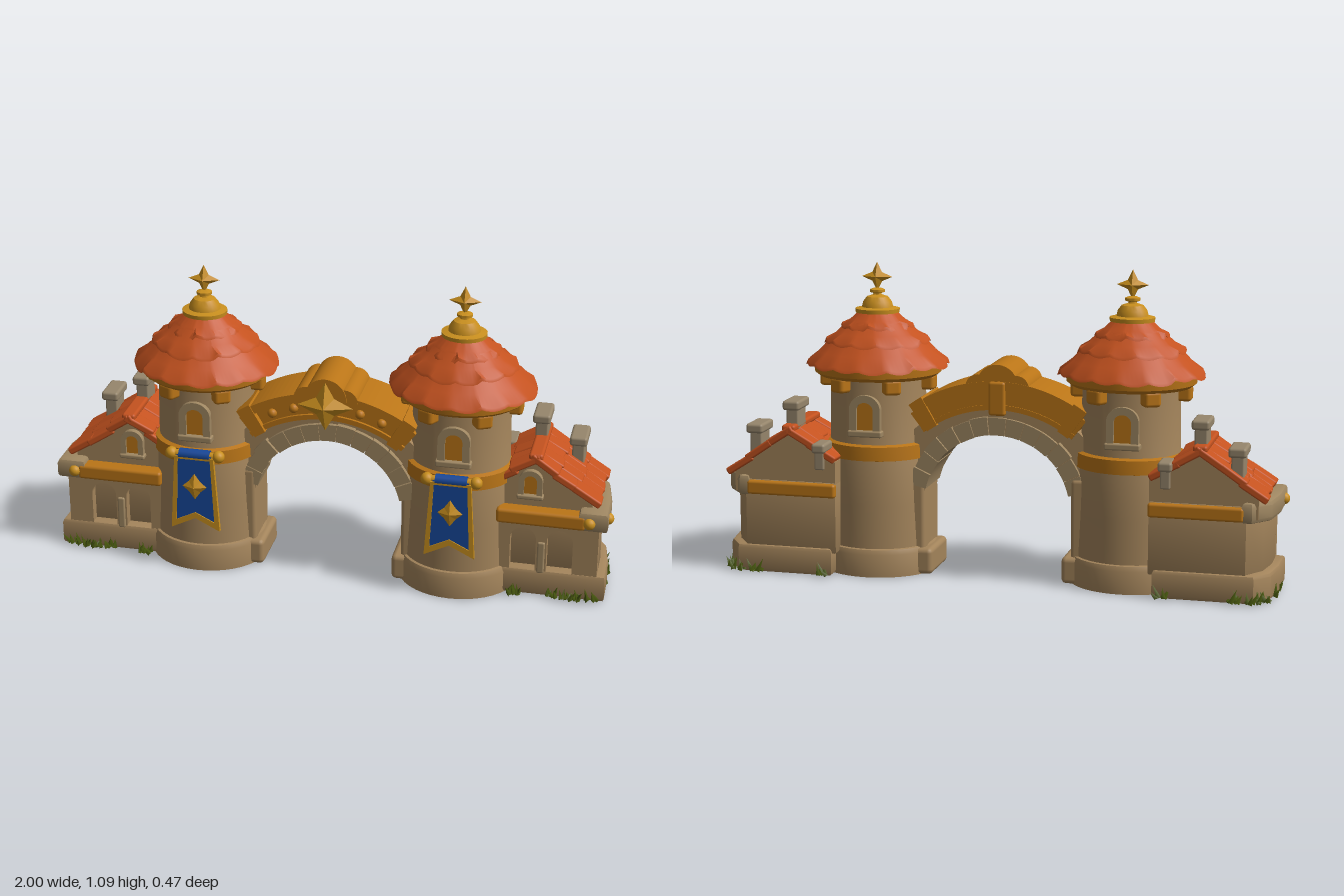
import * as THREE from 'three';
import { mergeGeometries, toCreasedNormals } from 'three/addons/utils/BufferGeometryUtils.js';
import { RoundedBoxGeometry } from 'three/addons/geometries/RoundedBoxGeometry.js';

const mat = (name, color, side = THREE.FrontSide) => {
  const m = new THREE.MeshStandardMaterial({ color, side });
  m.name = name;
  return m;
};
const V = (x, y) => new THREE.Vector2(x, y);
// repeatable jitter between -1 and 1
const hash = (n) => { const v = Math.sin(n * 127.1 + 3.7) * 4375.85; return 2 * (v - Math.floor(v)) - 1; };

function add(parent, name, geo, material, x = 0, y = 0, z = 0) {
  const mesh = new THREE.Mesh(geo, material);
  mesh.name = name;
  mesh.position.set(x, y, z);
  parent.add(mesh);
  return mesh;
}
const lathe = (pts, seg = 40) => toCreasedNormals(new THREE.LatheGeometry(pts.map(p => V(...p)), seg), 0.6);
const rbox = (w, h, d, r = 0.012) => new RoundedBoxGeometry(w, h, d, 2, r);
const extrude = (shape, z0, z1) => new THREE.ExtrudeGeometry(shape, { depth: z1 - z0, bevelEnabled: false, curveSegments: 16 }).translate(0, 0, z0);
const poly = (pts, s = 1) => new THREE.Shape(pts.map(p => V(s * p[0], p[1])));

// block with a ground plan given as x, z points and softened edges
function planBlock(pts, s, y0, y1, b) {
  const g = new THREE.ExtrudeGeometry(poly(pts, s), { depth: y1 - y0 - 2 * b, bevelSize: b, bevelOffset: -b, bevelThickness: b, bevelSegments: 2 });
  return toCreasedNormals(g.rotateX(Math.PI / 2).translate(0, y1 - b, 0), 0.6);
}
// round-topped opening standing on y
function arch(w, h, x = 0, y = 0) {
  const s = new THREE.Shape();
  s.moveTo(x - w / 2, y);
  s.lineTo(x + w / 2, y);
  s.lineTo(x + w / 2, y + h - w / 2);
  s.absarc(x, y + h - w / 2, w / 2, 0, Math.PI, false);
  s.closePath();
  return s;
}
// slice of a ring, angles measured from +x
function sector(r0, r1, a0, a1, z0, z1) {
  const s = new THREE.Shape();
  s.absarc(0, 0, r1, a0, a1, false);
  s.absarc(0, 0, r0, a1, a0, true);
  s.closePath();
  return extrude(s, z0, z1);
}
// faceted star, pointed front and back
function star(rx, ry, inner, depth) {
  const p = [], rim = [];
  for (let i = 0; i < 8; i++) {
    const a = i * Math.PI / 4, k = inner * Math.min(rx, ry);
    rim.push([Math.cos(a) * (i % 2 ? k : rx), Math.sin(a) * (i % 2 ? k : ry), 0]);
  }
  for (let i = 0; i < 8; i++) {
    const a = rim[i], b = rim[(i + 1) % 8];
    p.push(...a, ...b, 0, 0, depth, ...b, ...a, 0, 0, -depth);
  }
  const g = new THREE.BufferGeometry();
  g.setAttribute('position', new THREE.Float32BufferAttribute(p, 3));
  g.computeVertexNormals();
  return g;
}
// one ring of scalloped shingles
function shingles(r0, y0, r1, y1, tiles, seed) {
  const pts = [V(r0 - 0.04, y0 + 0.02), V(r0, y0), V(r0 - 0.004, y0 + 0.01), V((r0 + r1) / 2, (y0 + y1) / 2), V(r1, y1)];
  const g = new THREE.LatheGeometry(pts, tiles * 6);
  const p = g.attributes.position;
  for (let i = 0; i < p.count; i++) {
    const row = i % 5, step = Math.floor(i / 5) % (tiles * 6), tile = Math.floor(step / 6), u = (step % 6) / 6;
    if (row === 1 || row === 2) {
      const k = 1 + 0.015 * hash(tile + seed);
      const drop = 0.01 * (1 - Math.sin(Math.PI * u)) + 0.006 * hash(tile * 3 + seed);
      p.setXYZ(i, p.getX(i) * k, p.getY(i) + drop, p.getZ(i) * k);
    }
  }
  g.computeVertexNormals();
  return toCreasedNormals(g, 0.7);
}

export function createModel() {
  const model = new THREE.Group();
  model.name = 'castleGate';
  const stone = mat('stone', 0xa3845b), trim = mat('trim stone', 0x9f8762), grey = mat('chimney stone', 0x96866c);
  const red = mat('roof tile', 0xc4521f, THREE.DoubleSide), gold = mat('gold', 0xc98f1e), bronze = mat('bronze', 0xba7517);
  const blue = mat('banner blue', 0x17489a), green = mat('grass', 0x4a5a10, THREE.DoubleSide);

  function windowAt(parent, x, y, z, w, h, back) {
    const g = new THREE.Group();
    g.name = 'window';
    const frame = arch(w, h);
    frame.holes.push(arch(w * 0.54, h * 0.68, 0, h * 0.14));
    add(g, 'windowFrame', extrude(frame, -0.03, 0.018), trim);
    add(g, 'windowPane', extrude(arch(w * 0.58, h * 0.72, 0, h * 0.12), 0, 0.008), bronze);
    add(g, 'windowSill', rbox(w * 1.12, h * 0.16, 0.045, 0.006), trim, 0, h * 0.06, 0.002);
    g.position.set(x, y, z);
    if (back) g.rotation.y = Math.PI;
    parent.add(g);
  }

  function tower(s) {
    const t = new THREE.Group();
    t.name = 'tower';
    t.position.set(s * 0.455, 0, 0.003);
    t.scale.x = 1.11;
    add(t, 'towerPlinth', lathe([[0, 0], [0.19, 0], [0.19, 0.08], [0.183, 0.097], [0.165, 0.102]]), stone);
    add(t, 'towerWall', lathe([[0.175, 0.09], [0.169, 0.25], [0.165, 0.42], [0.156, 0.46], [0.152, 0.72]]), stone);
    add(t, 'towerCollar', lathe([[0.16, 0.41], [0.173, 0.413], [0.171, 0.462], [0.15, 0.47]]), bronze);
    add(t, 'eaveRing', lathe([[0.14, 0.695], [0.188, 0.695], [0.203, 0.708], [0.205, 0.735], [0.15, 0.745]]), bronze);
    for (let i = 0; i < 6; i++) {
      const a = Math.PI / 2 + i * Math.PI / 3;
      const b = add(t, 'eaveBracket', rbox(0.055, 0.055, 0.05, 0.012), bronze, Math.sin(a) * 0.165, 0.675, Math.cos(a) * 0.165);
      b.rotation.y = a;
    }
    // roof in overlapping tiers
    add(t, 'roofTierLow', shingles(0.23, 0.73, 0.145, 0.83, 16, 1), red);
    add(t, 'roofTierMiddle', shingles(0.169, 0.805, 0.095, 0.885, 13, 40), red);
    add(t, 'roofTierTop', shingles(0.118, 0.857, 0.055, 0.925, 10, 80), red);
    add(t, 'roofCap', lathe([[0.05, 0.912], [0.07, 0.915], [0.071, 0.929], [0.05, 0.934], [0.046, 0.952], [0.034, 0.97],
      [0.014, 0.977], [0.013, 0.982], [0.024, 0.986], [0.024, 0.995], [0.012, 1.0], [0, 1.002]], 24), gold);
    add(t, 'finialStar', star(0.05, 0.052, 0.45, 0.023), gold, 0, 1.04, 0);
    windowAt(t, 0, 0.5, 0.15, 0.1, 0.145);
    windowAt(t, 0, 0.5, -0.15, 0.1, 0.145, true);
    model.add(t);
  }

  function banner(s) {
    const b = new THREE.Group();
    b.name = 'banner';
    b.position.set(s * 0.453, 0, 0);
    const border = poly([[-0.07, 0.45], [-0.088, 0.168], [0, 0.212], [0.088, 0.168], [0.07, 0.45]]);
    border.holes.push(poly([[-0.058, 0.44], [-0.069, 0.2], [0, 0.234], [0.069, 0.2], [0.058, 0.44]]));
    add(b, 'bannerBorder', extrude(border, 0.184, 0.199), gold);
    add(b, 'bannerCloth', extrude(poly([[-0.062, 0.455], [-0.07, 0.195], [0, 0.228], [0.07, 0.195], [0.062, 0.455]]), 0.187, 0.195), blue);
    add(b, 'bannerSleeve', new THREE.CylinderGeometry(0.02, 0.02, 0.11, 16).rotateZ(Math.PI / 2), blue, 0, 0.452, 0.18);
    add(b, 'bannerRod', new THREE.CylinderGeometry(0.014, 0.014, 0.17, 12).rotateZ(Math.PI / 2), gold, 0, 0.452, 0.18);
    for (const e of [-1, 1]) add(b, 'rodEnd', new THREE.SphereGeometry(0.022, 14, 10), gold, e * 0.085, 0.452, 0.18);
    add(b, 'bannerEmblem', star(0.044, 0.05, 0.66, 0.017), gold, 0, 0.335, 0.196);
    model.add(b);
  }

  function house(s) {
    const h = new THREE.Group();
    h.name = 'sideHouse';
    // the outer back corner is cut off
    add(h, 'housePlinth', planBlock([[0.57, 0.105], [0.985, 0.105], [0.982, -0.03], [0.965, -0.14], [0.915, -0.21], [0.57, -0.21]], s, 0, 0.1, 0.014), stone);
    add(h, 'houseWall', planBlock([[0.555, 0.066], [0.955, 0.066], [0.954, -0.03], [0.935, -0.13], [0.885, -0.2], [0.555, -0.2]], s, 0.08, 0.335, 0.006), stone);
    const front = poly([[0.57, 0.09], [0.955, 0.09], [0.955, 0.3], [0.57, 0.3]], s);
    for (const x of [0.695, 0.823]) front.holes.push(arch(0.09, 0.165, s * x, 0.095));
    add(h, 'arcadeFront', extrude(front, 0.062, 0.1), stone);
    add(h, 'arcadePost', rbox(0.026, 0.12, 0.02, 0.006), trim, s * 0.759, 0.15, 0.098);
    add(h, 'gable', extrude(poly([[0.555, 0.29], [0.925, 0.29], [0.925, 0.36], [0.725, 0.51], [0.555, 0.41]], s), -0.196, 0.075), stone);
    add(h, 'cornerBeam', planBlock([[0.885, 0.122], [0.985, 0.122], [0.984, -0.02], [0.965, -0.14], [0.905, -0.21], [0.87, -0.21]], s, 0.276, 0.35, 0.016), trim);
    add(h, 'frontBeam', rbox(0.31, 0.055, 0.06, 0.012), bronze, s * 0.755, 0.307, 0.095);
    add(h, 'backBeam', rbox(0.325, 0.05, 0.03, 0.01), bronze, s * 0.715, 0.307, -0.2);
    add(h, 'frontStud', new THREE.SphereGeometry(0.021, 14, 10), gold, s * 0.922, 0.31, 0.12);
    add(h, 'sideStud', new THREE.SphereGeometry(0.021, 14, 10), gold, s * 0.98, 0.31, 0.065);
    windowAt(h, s * 0.712, 0.37, 0.078, 0.082, 0.105);
    // tiled slopes either side of the ridge
    const slope = (dir, ex, ey, rows) => {
      const dx = ex - 0.725, dy = ey - 0.515, len = Math.hypot(dx, dy);
      for (let r = 0; r < rows; r++) for (let c = 0; c < 5; c++) {
        const k = (r + 0.5) / rows, n = r * 7 + c + dir * 31;
        const tile = add(h, 'roofTile', rbox(len / rows + 0.025, 0.026, 0.064, 0.007), red,
          s * (0.725 + dx * k + 0.006 * hash(n + 3)), 0.515 + dy * k + 0.005 * hash(n), 0.056 - c * 0.0565);
        tile.rotation.z = s * dir * (Math.atan2(dy, Math.abs(dx)) + 0.06 + 0.05 * hash(n + 9));
        tile.rotation.y = 0.08 * hash(n + 5);
      }
    };
    slope(1, 0.938, 0.362, 3);
    slope(-1, 0.57, 0.415, 2);
    add(h, 'roofRidge', rbox(0.05, 0.025, 0.28, 0.01), red, s * 0.725, 0.521, -0.057);
    // chimneys: tall, short and a low one behind the tower
    for (const [x, y0, y1, z, k] of [[0.722, 0.47, 0.615, -0.118, 1], [0.85, 0.39, 0.532, -0.142, 1], [0.61, 0.38, 0.475, -0.172, 0.8]]) {
      add(h, 'chimneyStack', rbox(0.044 * k, y1 - y0 - 0.02, 0.085 * k, 0.006), grey, s * x, (y0 + y1) / 2 - 0.01, z);
      add(h, 'chimneyCap', rbox(0.062 * k, 0.034, 0.118 * k, 0.01), grey, s * x, y1 - 0.017, z);
    }
    model.add(h);
  }

  function grass(s) {
    const blades = [];
    const spots = [[0.945, 0.115], [0.9, 0.118], [0.855, 0.116], [0.8, 0.112], [0.67, 0.12], [0.975, -0.01], [0.972, -0.09], [0.955, -0.165], [0.915, -0.213], [0.85, -0.217], [0.6, -0.21]];
    spots.forEach(([x, z], j) => {
      for (let i = 0; i < 7; i++) {
        const n = j * 11 + i, len = 0.04 + 0.014 * hash(n);
        blades.push(new THREE.ConeGeometry(0.01, len, 3).translate(0, len / 2, 0)
          .rotateX(0.6 * hash(n + 50)).rotateZ(0.6 * hash(n + 90))
          .translate(s * Math.min(0.978, x + 0.022 * hash(n + 7)), 0.006, z + 0.01 * hash(n + 21)));
      }
    });
    add(model, 'grassTufts', mergeGeometries(blades), green);
  }

  for (const s of [1, -1]) {
    tower(s);
    banner(s);
    house(s);
    grass(s);
    add(model, 'archPier', rbox(0.12, 0.34, 0.18, 0.015), stone, s * 0.322, 0.2, 0);
    add(model, 'pierPlinth', rbox(0.14, 0.095, 0.21, 0.018), stone, s * 0.302, 0.0475, 0);
  }

  // stone arch with separate wedge blocks
  const a0 = 0.22, count = 13, step = (Math.PI - 2 * a0) / count;
  for (let i = 0; i < count; i++) {
    const a = a0 + i * step, j = 0.005 * hash(i + 2);
    add(model, 'archBlock', sector(0.262 + j * 0.6, 0.325 + j, a + 0.005, a + step - 0.005, -0.088 - j, 0.092 + j), trim, 0, 0.25, 0);
  }
  add(model, 'archCore', sector(0.268, 0.32, 0, Math.PI, -0.08, 0.084), stone, 0, 0.25, 0);
  const fill = new THREE.Shape();
  fill.absarc(0, 0.17, 0.46, Math.PI / 2 - 0.75, Math.PI / 2 + 0.75, false);
  fill.absarc(0, 0.25, 0.3, Math.PI - 0.25, 0.25, true);
  add(model, 'archFill', extrude(fill, -0.07, 0.074), stone);

  // gilded upper arch
  const up = Math.PI / 2;
  add(model, 'upperArch', sector(0.435, 0.51, up - 0.66, up + 0.66, -0.08, 0.1), bronze, 0, 0.17, 0);
  add(model, 'upperArchMoulding', sector(0.5, 0.53, up - 0.62, up + 0.62, -0.085, 0.118), bronze, 0, 0.17, 0);
  add(model, 'lowerArchMoulding', sector(0.43, 0.448, up - 0.66, up + 0.66, -0.084, 0.11), bronze, 0, 0.17, 0);
  for (const a of [-0.58, 0.58]) add(model, 'archClasp', sector(0.425, 0.538, up + a - 0.05, up + a + 0.05, -0.09, 0.122), bronze, 0, 0.17, 0);
  add(model, 'backClasp', rbox(0.06, 0.12, 0.03, 0.01), bronze, 0, 0.64, -0.078);
  for (const a of [-0.42, 0.42, -0.25, 0.25]) {
    add(model, 'archStud', new THREE.SphereGeometry(0.017, 12, 8), bronze, Math.sin(a) * 0.474, 0.17 + Math.cos(a) * 0.474, 0.1);
  }
  // rounded crown and its emblem
  for (const [x, y, r, front] of [[0, 0.685, 0.074, 0.125], [-0.068, 0.678, 0.045, 0.12], [0.068, 0.678, 0.045, 0.12]]) {
    add(model, 'archCrown', new THREE.CylinderGeometry(r, r, front + 0.083, 28).rotateX(up), bronze, x, y, (front - 0.083) / 2);
  }
  add(model, 'crownStar', star(0.098, 0.09, 0.5, 0.034), gold, 0, 0.658, 0.125);
  return model;
}
